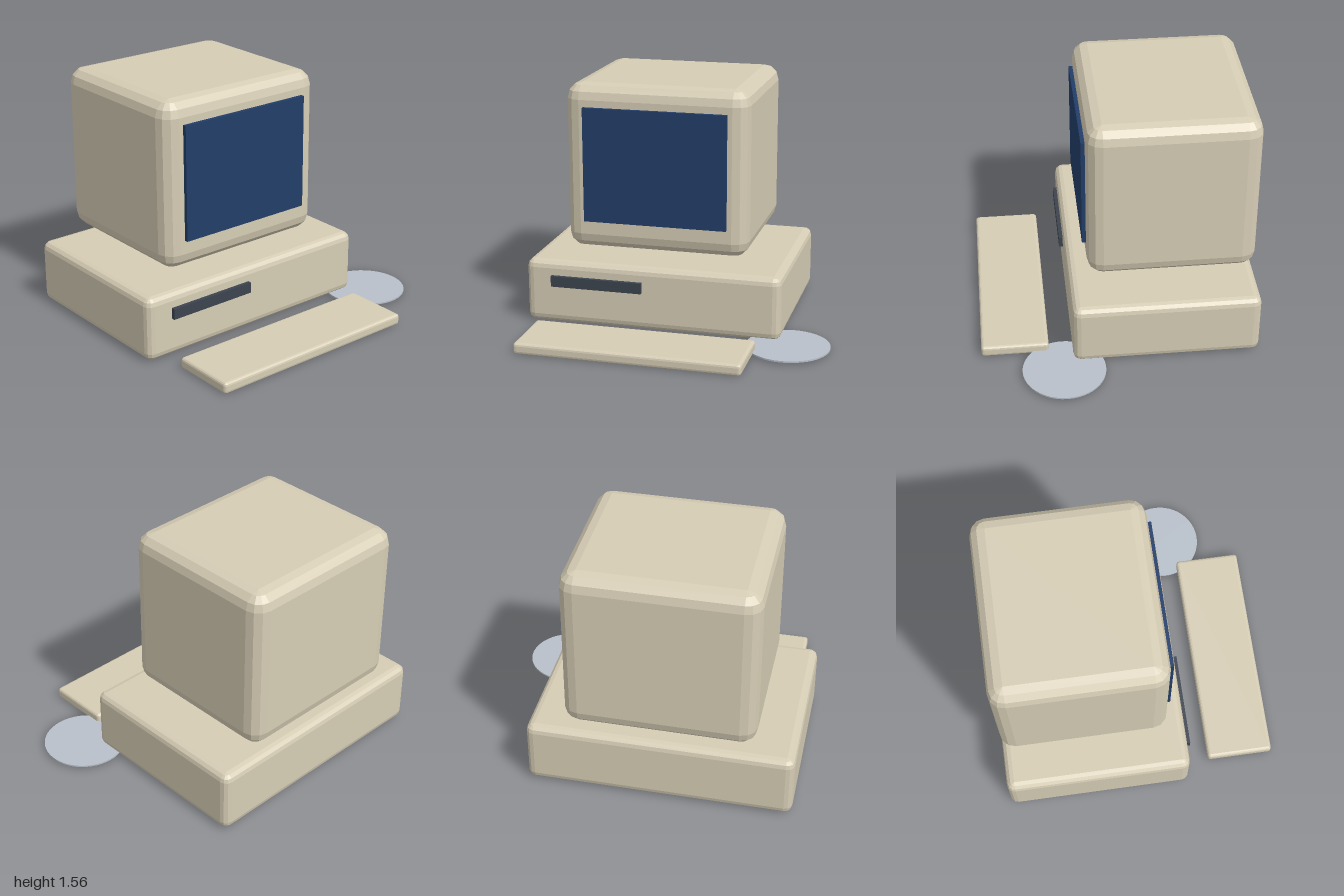
import * as THREE from 'three';
import { ConvexGeometry } from 'three/addons/geometries/ConvexGeometry.js';

const material = (name, color) => {
  const m = new THREE.MeshStandardMaterial({ color });
  m.name = name;
  return m;
};

// Box between two corners with faceted rounded edges: hull of eight sphere octants
function roundedBox(min, max, r, steps) {
  const points = [];
  for (const sx of [-1, 1]) for (const sy of [-1, 1]) for (const sz of [-1, 1]) {
    for (let i = 0; i <= steps; i++) {
      const lat = (i / steps) * Math.PI / 2;
      const around = i === steps ? 0 : steps; // a single point at the pole
      for (let j = 0; j <= around; j++) {
        const lon = (j / steps) * Math.PI / 2;
        const n = i === steps ? [0, 1, 0]
          : [Math.cos(lat) * Math.cos(lon), Math.sin(lat), Math.cos(lat) * Math.sin(lon)];
        const p = [sx, sy, sz].map((s, k) => (s > 0 ? max[k] - r : min[k] + r) + s * r * n[k]);
        points.push(new THREE.Vector3(...p));
      }
    }
  }
  return new ConvexGeometry(points);
}

// Plain box between two corners
function plainBox(min, max) {
  const g = new THREE.BoxGeometry(...max.map((v, k) => v - min[k]));
  return g.translate(...max.map((v, k) => (v + min[k]) / 2));
}

export function createModel() {
  const model = new THREE.Group();
  model.name = 'desktopComputer';
  const beige = material('beige plastic', 0xd6cdb5);
  const blue = material('screen blue', 0x233e69);
  const dark = material('dark grey', 0x3d444f);
  const silver = material('silver grey', 0xb8c0ca);

  const add = (name, geometry, mat) => {
    const mesh = new THREE.Mesh(geometry, mat);
    mesh.name = name;
    model.add(mesh);
  };

  // Computer case with the drive slot on its front
  add('case', roundedBox([-1, 0.005, -0.885], [0.67, 0.42, 0.305], 0.05, 3), beige);
  add('driveSlot', plainBox([-0.825, 0.255, 0.29], [-0.225, 0.325, 0.33]), dark);

  // Monitor above the case, with its raised screen
  add('monitor', roundedBox([-0.76, 0.485, -0.885], [0.43, 1.56, 0.19], 0.1, 3), beige);
  add('screen', plainBox([-0.63, 0.675, 0.17], [0.3, 1.415, 0.215]), blue);

  // Keyboard in front
  add('keyboard', roundedBox([-0.88, 0, 0.455], [0.55, 0.073, 0.885], 0.02, 3), beige);

  // Thin round disc at the right of the case
  const disc = new THREE.CylinderGeometry(0.263, 0.263, 0.01, 48);
  add('disc', disc.translate(0.737, 0.017, 0.37), silver);

  return model;
}
